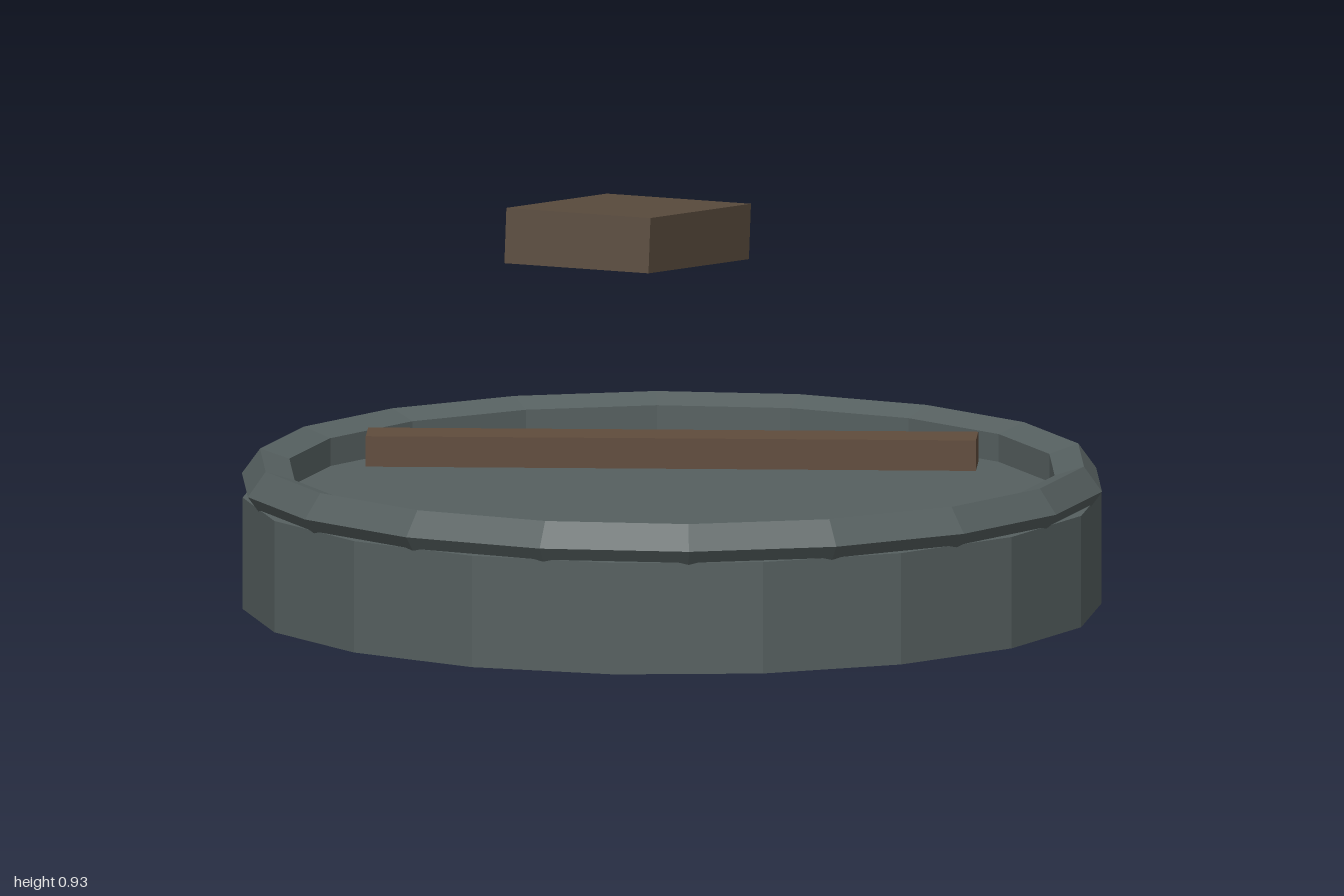
import * as THREE from 'three';

const flat = (name, color) => {
  const m = new THREE.MeshStandardMaterial({ color, flatShading: true });
  m.name = name;
  return m;
};

export function createModel() {
  const stone = flat('greyGreenStone', 0x566060);
  const wood = flat('plankBrown', 0x604c3c);
  const darkWood = flat('blockBrown', 0x5a4c3e);

  const model = new THREE.Group();
  model.name = 'roundBaseWithBlocks';

  const add = (name, geometry, material, x, y, z) => {
    const mesh = new THREE.Mesh(geometry, material);
    mesh.name = name;
    mesh.position.set(x, y, z);
    model.add(mesh);
    return mesh;
  };

  // Eighteen-sided drum
  const sides = 18;
  const baseHeight = 0.26;
  add('base', new THREE.CylinderGeometry(0.99, 0.99, baseHeight, sides), stone, 0, baseHeight / 2, 0);

  // Raised rim with a five-sided section
  const tube = 0.061;
  const rim = add('rim', new THREE.TorusGeometry(1 - tube, tube, 5, sides), stone, 0, 0.289, 0);
  rim.rotation.x = -Math.PI / 2;

  // Long plank lying diagonally just above the top of the drum
  const plank = add('plank', new THREE.BoxGeometry(0.126, 0.071, 1.407), wood, 0, 0.3665, 0);
  plank.rotation.y = 0.615;

  // Tilted block hovering over the plank
  const block = add('block', new THREE.BoxGeometry(0.575, 0.128, 0.363), darkWood, 0.103, 0.836, -0.209);
  block.rotation.set(0, 0.243, -0.09, 'YXZ');

  return model;
}
